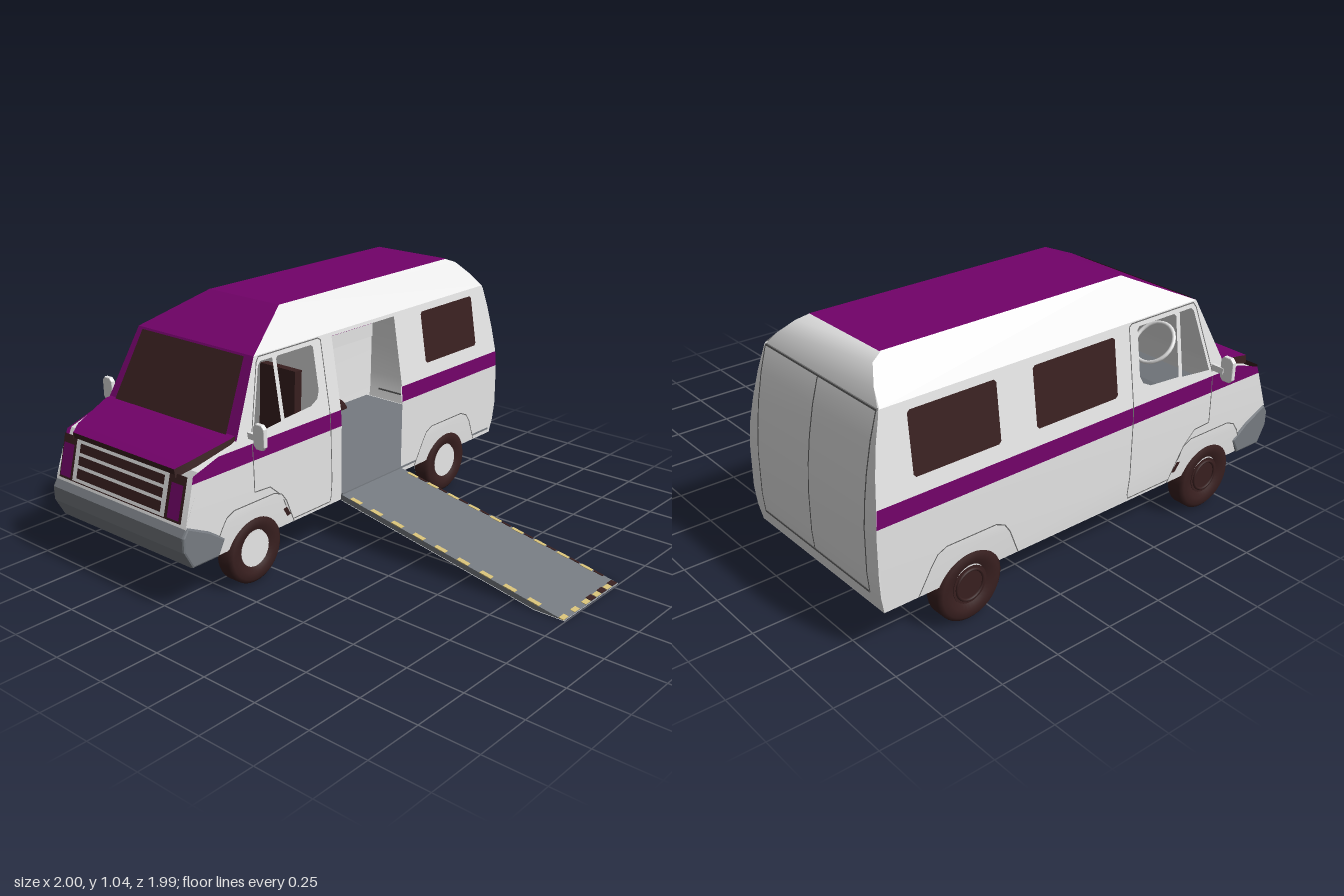
import * as THREE from 'three';

const flat = (name, color) => new THREE.MeshStandardMaterial({ name, color, side: THREE.DoubleSide });

export function createModel() {
  const white = flat('bodyGrey', 0xe6e6e6), purple = flat('purple', 0x720269), dark = flat('darkBrown', 0x381f1f);
  const slate = flat('slate', 0x767b81), yellow = flat('yellow', 0xd6c078), line = flat('seamGrey', 0x6a6a6a);
  const model = new THREE.Group();
  const van = new THREE.Group();
  van.name = 'van';
  van.position.z = -0.515;
  model.add(van);

  const add = (name, geo, mat, parent = van, x = 0, y = 0, z = 0) => {
    const m = new THREE.Mesh(geo, mat);
    m.name = name;
    m.position.set(x, y, z);
    parent.add(m);
    return m;
  };
  const box = (name, mat, x0, x1, y0, y1, z0, z1, parent = van) =>
    add(name, new THREE.BoxGeometry(x1 - x0, y1 - y0, z1 - z0), mat, parent, (x0 + x1) / 2, (y0 + y1) / 2, (z0 + z1) / 2);
  const shapeOf = pts => new THREE.Shape(pts.map(p => new THREE.Vector2(...p)));

  // Surface through rows of point pairs
  const ribbon = (name, mat, rows, parent = van) => {
    const pos = rows.flat(2), idx = [];
    for (let i = 0; i < rows.length - 1; i++) idx.push(2 * i, 2 * i + 1, 2 * i + 2, 2 * i + 1, 2 * i + 3, 2 * i + 2);
    const g = new THREE.BufferGeometry();
    g.setAttribute('position', new THREE.Float32BufferAttribute(pos, 3));
    g.setIndex(idx);
    g.computeVertexNormals();
    return add(name, g, mat, parent);
  };

  // Body profiles: half width, nose and tail, each against height
  const widths = [[0.385, 0.19], [0.395, 0.3], [0.393, 0.52], [0.39, 0.59], [0.34, 0.915], [0.205, 1.04]];
  const nose = [[-0.955, 0.19], [-0.985, 0.27], [-0.98, 0.36], [-0.93, 0.55], [-0.7, 0.62], [-0.55, 0.915], [-0.27, 1.04]];
  const tail = [[0.97, 0.19], [0.985, 0.25], [0.995, 0.33], [1, 0.5], [0.995, 0.6], [0.985, 0.7], [0.967, 0.81],
    [0.945, 0.9], [0.92, 0.965], [0.88, 1.02], [0.83, 1.04]];
  const at = (list, y) => {
    let i = 1;
    while (i < list.length - 1 && list[i][1] < y) i++;
    const [a, b] = [list[i - 1], list[i]];
    return a[0] + (b[0] - a[0]) * (y - a[1]) / (b[1] - a[1]);
  };
  const half = y => at(widths, y);
  const slice = (list, y0, y1) => [[at(list, y0), y0], ...list.filter(p => p[1] > y0 + 1e-4 && p[1] < y1 - 1e-4), [at(list, y1), y1]];
  const across = (name, mat, pts, dx = 0, dy = 0, trim = 0) =>
    ribbon(name, mat, pts.map(([x, y, w = half(y)]) => [[x + dx, y + dy, trim - w], [x + dx, y + dy, w - trim]]));

  // Panel drawn in side elevation and pushed out to the body side
  const panel = (name, mat, pts, s, off = 0, holes = []) => {
    const shape = shapeOf(pts);
    shape.holes.push(...holes.map(shapeOf));
    const g = new THREE.ShapeGeometry(shape), p = g.attributes.position;
    for (let i = 0; i < p.count; i++) p.setZ(i, s * (half(p.getY(i)) + off));
    g.computeVertexNormals();
    return add(name, g, mat);
  };
  const seam = (pts, s, off = 0.003) => {
    for (let i = 1; i < pts.length; i++) {
      const [[ax, ay], [bx, by]] = [pts[i - 1], pts[i]];
      const l = Math.hypot(bx - ax, by - ay), nx = (by - ay) / l * 0.0022, ny = (ax - bx) / l * 0.0022;
      panel('doorSeam', line, [[ax + nx, ay + ny], [bx + nx, by + ny], [bx - nx, by - ny], [ax - nx, ay - ny]], s, off);
    }
  };

  // Side walls in bands, with the side doorway left open on one side
  const cabWindows = [
    [[-0.61, 0.62], [-0.535, 0.875], [-0.52, 0.89], [-0.455, 0.89], [-0.455, 0.635]],
    [[-0.435, 0.64], [-0.435, 0.88], [-0.425, 0.89], [-0.235, 0.89], [-0.225, 0.88], [-0.225, 0.7], [-0.24, 0.67], [-0.28, 0.65]],
  ];
  const doorL = -0.11, doorR = 0.29;
  const bands = [['lowerSide', white, 0.19, 0.52, 0, []], ['sideStripe', purple, 0.52, 0.59, 0, []],
    ['stripeLining', white, 0.52, 0.59, -0.006, []], ['upperSide', white, 0.59, 0.915, 0, cabWindows]];
  for (const s of [1, -1]) {
    for (const [name, mat, y0, y1, off, holes] of bands) {
      const front = slice(nose, y0, y1), rear = slice(tail, y0, y1).reverse();
      if (off) front.forEach(p => { p[0] += 0.02; });
      if (s > 0) {
        panel(name, mat, [...front, [doorL, y1], [doorL, y0]], s, off, holes);
        panel(name, mat, [[doorR, y0], [doorR, y1], ...rear], s, off);
      } else panel(name, mat, [...front, ...rear], s, off, holes);
    }
    panel('roofSide', white, [...slice(nose, 0.915, 1.04), ...slice(tail, 0.915, 1.04).reverse()], s);

    // Dark side windows
    for (const [a, b] of s > 0 ? [[0.465, 0.84]] : [[0.465, 0.84], [-0.1, 0.3]])
      panel('sideWindow', dark, [[a, 0.665], [a + 0.01, 0.655], [b - 0.01, 0.655], [b, 0.665], [b, 0.875], [b - 0.01, 0.885], [a + 0.01, 0.885], [a, 0.875]], s, 0.005);

    // Cab door seams and step
    seam([[-0.625, 0.59], [-0.625, 0.52], [-0.625, 0.39], [-0.54, 0.385], [-0.48, 0.33], [-0.465, 0.3], [-0.42, 0.2], [-0.185, 0.2],
      [-0.18, 0.22], [-0.18, 0.3], [-0.18, 0.52], [-0.18, 0.59], [-0.18, 0.9], [-0.195, 0.91], [-0.53, 0.91], [-0.545, 0.89], [-0.625, 0.61]], s);
    panel('stepTrim', dark, [[-0.47, 0.265], [-0.45, 0.27], [-0.425, 0.23], [-0.445, 0.225]], s, 0.005);

    // Wheel arch lips
    for (const x of [-0.63, 0.605]) {
      const arch = [[-0.225, 0.19], [-0.175, 0.3], [-0.15, 0.335], [-0.11, 0.352], [0.11, 0.352], [0.15, 0.335], [0.175, 0.3], [0.225, 0.19]]
        .map(p => [p[0] + x, p[1]]);
      panel('wheelArch', white, arch, s, 0.005);
      seam(arch, s, 0.006);
    }

    // Mirrors
    box('mirrorArm', white, -0.64, -0.625, 0.615, 0.64, s > 0 ? 0.37 : -0.44, s > 0 ? 0.44 : -0.37);
    const mirror = shapeOf([[-0.026, -0.035], [-0.014, -0.048], [0.014, -0.048], [0.026, -0.035], [0.026, 0.035], [0.014, 0.048], [-0.014, 0.048], [-0.026, 0.035]]);
    const mg = new THREE.ExtrudeGeometry(mirror, { depth: 0.012, bevelSize: 0.004, bevelThickness: 0.004, bevelSegments: 2 });
    add('mirror', mg.rotateY(Math.PI / 2), white, van, -0.645, 0.638, s * 0.453);
  }
  panel('doorHeader', white, [[doorL, 0.9], [doorR, 0.9], [doorR, 0.915], [doorL, 0.915]], 1);

  // Nose, windscreen surround, roof and tail, with pale linings inside
  const screen = slice(nose, 0.62, 0.915), slope = slice(nose, 0.915, 1.04), top = [[-0.27, 1.04], [0.838, 1.04]];
  across('noseFace', white, slice(nose, 0.19, 0.55));
  across('fenderTop', white, slice(nose, 0.55, 0.62));
  across('windscreenSurround', purple, screen);
  across('windscreenLining', white, screen, 0.01, -0.002, 0.003);
  across('roofFront', purple, slope);
  across('roofFrontLining', white, slope, 0.004, -0.009, 0.003);
  across('roof', purple, top);
  across('roofLining', white, top, 0, -0.008);
  across('tail', white, tail);
  across('windscreen', dark, [[-0.7, 0.632, 0.333], [-0.558, 0.911, 0.3]], -0.006);

  // Bonnet, raised above the fenders with dark edges
  const hood = [[-0.945, 0.562, 0.305], [-0.9, 0.582, 0.33], [-0.72, 0.634, 0.375], [-0.695, 0.638, 0.372]];
  across('bonnet', purple, hood);
  for (const s of [1, -1])
    ribbon('bonnetEdge', dark, hood.map(([x, y, w]) => [[x, y, s * w], [x, y - 0.033, s * (w + 0.004)]]));
  ribbon('bonnetLip', dark, [[[-0.945, 0.562, -0.305], [-0.945, 0.562, 0.305]], [[-0.938, 0.53, -0.305], [-0.938, 0.53, 0.305]]]);

  // Grille, bars and lamps on the sloping nose
  const nosePlate = (name, mat, z0, z1, t0, t1, off) => ribbon(name, mat, [t0, t1].map(t => {
    const x = -0.98 + 0.05 * t - off, y = 0.36 + 0.19 * t;
    return [[x, y, z0], [x, y, z1]];
  }));
  nosePlate('grille', dark, -0.37, 0.37, 0.04, 0.97, 0.006);
  for (const t of [0.08, 0.36, 0.62, 0.88]) nosePlate('grilleBar', white, -0.265, 0.265, t, t + 0.07, 0.012);
  for (const s of [1, -1]) {
    nosePlate('grillePost', white, s * 0.255, s * 0.28, 0.08, 0.95, 0.012);
    nosePlate('headlamp', purple, s * 0.295, s * 0.36, 0.1, 0.8, 0.011);
  }

  // Front bumper
  const bumper = shapeOf([[-0.972, 0.35], [-0.992, 0.32], [-0.992, 0.265], [-0.955, 0.195], [-0.83, 0.195], [-0.8, 0.25], [-0.87, 0.3]]);
  add('frontBumper', new THREE.ExtrudeGeometry(bumper, { depth: 0.78, bevelSize: 0.008, bevelThickness: 0.01, bevelSegments: 2 }), slate, van, 0, 0, -0.39);

  // Rear door seams
  const rearLine = slice(tail, 0.25, 0.91);
  for (const z of [-0.33, 0, 0.33])
    ribbon('rearDoorSeam', line, rearLine.map(([x, y]) => [[x + 0.003, y, z - 0.003], [x + 0.003, y, z + 0.003]]));
  for (const y of [0.25, 0.91]) {
    const x = at(tail, y);
    box('rearDoorSeam', line, x - 0.005, x + 0.004, y - 0.004, y + 0.004, -0.33, 0.33);
  }

  // Floor and bulkhead behind the cab
  box('underbody', white, -0.93, 0.97, 0.185, 0.205, -0.385, 0.385);
  box('loadFloor', slate, -0.105, 0.95, 0.205, 0.212, -0.385, 0.39);
  for (const [mat, x] of [[dark, -0.11], [white, -0.118]])
    ribbon('bulkhead', mat, [0.21, 0.59, 0.915, 1.03].map(y => [[x, y, 0.008 - half(y)], [x, y, half(y) - 0.008]]));

  // Cab seats and steering wheel
  for (const z of [-0.18, 0.18]) {
    box('seatCushion', dark, -0.48, -0.24, 0.38, 0.47, z - 0.13, z + 0.13);
    box('seatBack', dark, -0.275, -0.235, 0.42, 0.77, z - 0.1, z + 0.1).rotation.z = -0.06;
  }
  const steer = add('steeringWheel', new THREE.TorusGeometry(0.088, 0.008, 8, 28), white, van, -0.51, 0.695, -0.18);
  steer.quaternion.setFromUnitVectors(new THREE.Vector3(0, 0, 1), new THREE.Vector3(0.73, 0.68, 0).normalize());

  // Wheels
  const tyre = new THREE.LatheGeometry([[0.074, -0.03], [0.1, -0.042], [0.128, -0.042], [0.145, -0.028], [0.145, 0.028],
    [0.128, 0.042], [0.1, 0.042], [0.074, 0.03]].map(p => new THREE.Vector2(...p)), 36).rotateX(Math.PI / 2);
  const disc = (r, d) => new THREE.CylinderGeometry(r, r, d, 32).rotateX(Math.PI / 2);
  for (const x of [-0.63, 0.605]) for (const s of [1, -1]) {
    const wheel = new THREE.Group();
    wheel.name = 'wheel';
    wheel.position.set(x, 0.147, s * 0.36);
    van.add(wheel);
    add('tyre', tyre, dark, wheel);
    add('hub', disc(0.075, 0.03), white, wheel, 0, 0, 0.018);
    if (s > 0) add('innerDisc', disc(0.128, 0.008), white, wheel, 0, 0, -0.041);
    else {
      add('outerHub', disc(0.075, 0.03), dark, wheel, 0, 0, -0.018);
      add('hubRing', new THREE.TorusGeometry(0.06, 0.006, 6, 28), dark, wheel, 0, 0, -0.034);
    }
  }

  // Access ramp with a pale underside
  const under = [[-0.13, 0.182], [0.86, 0.003], [0.995, 0.003]];
  const rampShape = shapeOf([...under, [-0.13, 0.207]]);
  add('ramp', new THREE.ExtrudeGeometry(rampShape, { depth: 0.4, bevelEnabled: false }).rotateY(-Math.PI / 2), slate, model, 0.29, 0, 0);
  ribbon('rampUnderside', white, under.map(([z, y]) => [[doorL, y - 0.002, z], [doorR, y - 0.002, z]]), model);
  const pad = box('rampUndersidePad', purple, -0.1, 0.2, -0.002, 0.002, -0.06, 0.06, model);
  pad.position.set(0.05, 0.0145, 0.785);
  pad.rotation.x = Math.atan2(0.179, 0.99);

  // Hazard marks along the ramp edges and tip
  const edging = new THREE.Group();
  edging.name = 'hazardEdging';
  edging.position.set(0, 0.207, -0.13);
  edging.rotation.x = Math.atan2(0.204, 1.125);
  model.add(edging);
  const len = Math.hypot(0.204, 1.125);
  const mark = (mat, x0, x1, z0, z1) => box('edgeMark', mat, x0, x1, -0.002, 0.002, z0, z1, edging);
  for (let z = 0.05; z < len - 0.08; z += 0.115) {
    mark(yellow, -0.11, -0.088, z, z + 0.055);
    mark(yellow, 0.274, 0.29, z, z + 0.055);
    mark(dark, 0.28, 0.29, z + 0.06, z + 0.105);
  }
  for (let i = 0; i < 10; i++) {
    const x = doorL + i * 0.04;
    if (i % 2 === 0) mark(yellow, x, x + 0.036, len - 0.026, len - 0.004);
    else if (i > 4) mark(dark, x, x + 0.036, len - 0.03, len - 0.004);
  }
  return model;
}
